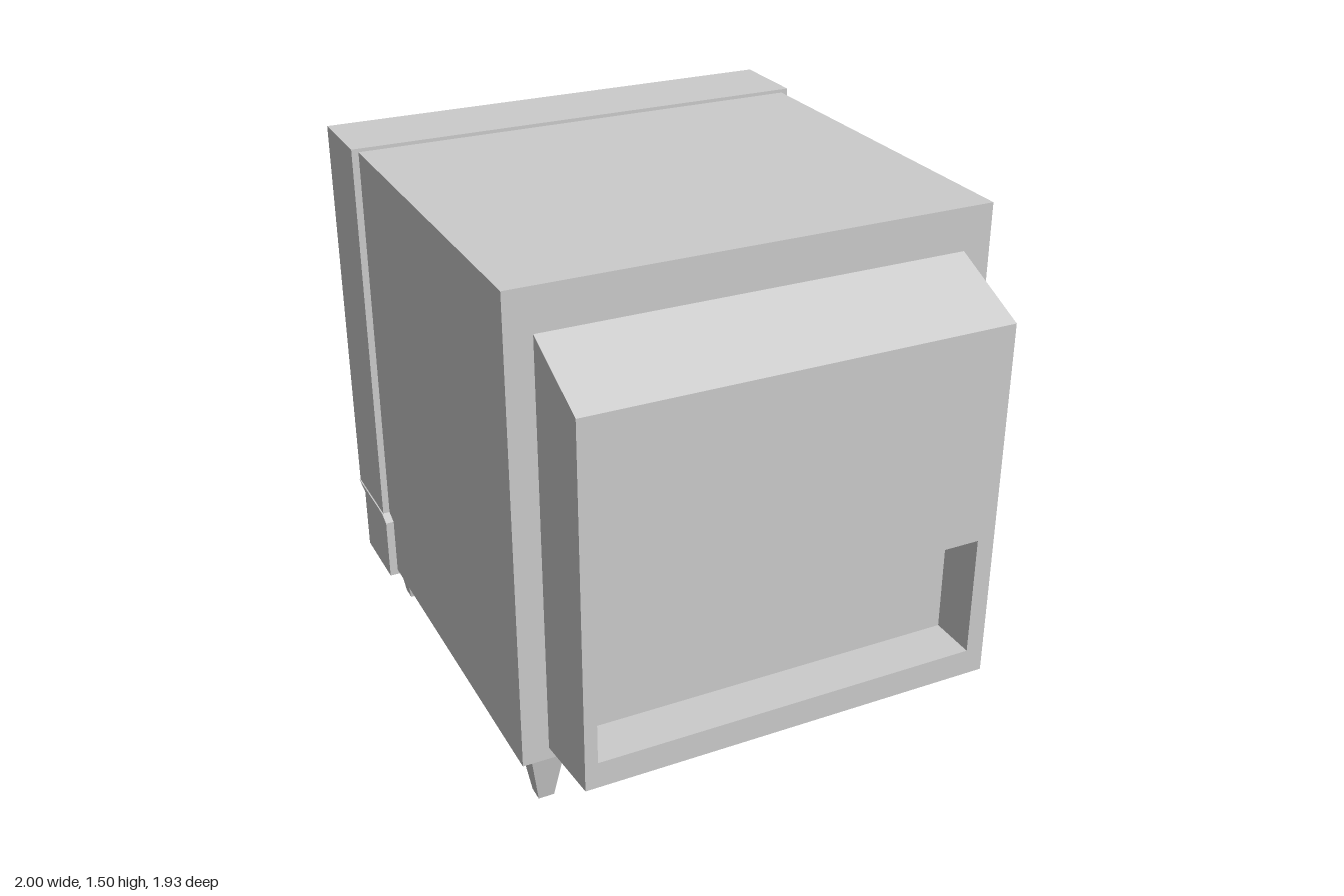
import * as THREE from 'three';

const CX = 0.012; // middle of the cabinet across its width

export function createModel() {
  const model = new THREE.Group();
  model.name = 'television';
  const material = new THREE.MeshStandardMaterial({ color: 0xcccccc });

  const add = (name, geometry, x = 0, y = 0, z = 0) => {
    const mesh = new THREE.Mesh(geometry, material);
    mesh.name = name;
    mesh.position.set(x, y, z);
    model.add(mesh);
    return mesh;
  };
  const polygon = (points) => new THREE.Shape(points.map(([x, y]) => new THREE.Vector2(x, y)));
  const rect = (x0, x1, y0, y1) => [[x0, y0], [x1, y0], [x1, y1], [x0, y1]];
  // plate with a rectangular opening, extruded along z
  const frame = (outer, hole, depth) => {
    const shape = polygon(rect(...outer));
    shape.holes.push(polygon(rect(...hole)));
    return new THREE.ExtrudeGeometry(shape, { depth, bevelEnabled: false });
  };

  // Cabinet
  add('cabinet', new THREE.BoxGeometry(1.321, 1.32, 1.083), CX, 0.825, -0.0415);

  // Screen surround
  add('screenSurround',
    frame([-0.68, 0.68, 0.35, 1.495], [-0.57, 0.57, 0.42, 1.37], 0.237), CX, 0, 0.497);

  // Control panel: a (z, y) profile extruded across the width
  const profile = polygon([[0.734, 0.35], [0.497, 0.35], [0.46, 0.335],
    [0.46, 0.15], [0.675, 0.15], [0.675, 0.335]]);
  const panel = new THREE.ExtrudeGeometry(profile, { depth: 1.368, bevelEnabled: false });
  panel.rotateY(-Math.PI / 2);
  add('controlPanel', panel, CX + 0.684);

  // Bulging screen
  const screen = new THREE.PlaneGeometry(1.14, 0.95, 28, 24);
  const sp = screen.attributes.position;
  for (let i = 0; i < sp.count; i++) {
    const a = Math.cos((sp.getX(i) / 1.14) * Math.PI);
    const b = Math.cos((sp.getY(i) / 0.95) * Math.PI);
    sp.setZ(i, 0.605 + 0.025 * (a + b) + 0.15 * a * b);
  }
  screen.computeVertexNormals();
  add('screen', screen, CX, 0.895, 0);

  // Rear housing: its top and bottom flare out towards the cabinet
  const housing = frame([-0.571, 0.599, 0.235, 1.262], [-0.52, 0.564, 0.31, 0.655], 0.237);
  const hp = housing.attributes.position;
  for (let i = 0; i < hp.count; i++) {
    if (hp.getZ(i) < 0.1) continue;
    if (hp.getY(i) > 1.2) hp.setY(i, 1.367);
    else if (hp.getY(i) < 0.25) hp.setY(i, 0.2);
  }
  housing.computeVertexNormals();
  add('rearHousing', housing, 0, 0, -0.82);
  add('rearRecessPanel', new THREE.BoxGeometry(1.084, 0.345, 0.08), 0.022, 0.4825, -0.645);

  // Row of knobs
  const knob = new THREE.LatheGeometry(
    [[0.024, 0], [0.024, 0.012], [0.033, 0.014], [0.033, 0.036], [0.026, 0.045], [0, 0.047]]
      .map(([r, y]) => new THREE.Vector2(r, y)), 20).toNonIndexed();
  knob.computeVertexNormals();
  knob.rotateX(Math.PI / 2);
  for (let i = 0; i < 6; i++) add('knob', knob, 0.024 + i * 0.097, 0.237, 0.674);

  // Upright handles at both ends of the panel
  const handleCurve = new THREE.CatmullRomCurve3([
    [0.052, -0.01], [0.052, 0.025], [0.036, 0.044], [0, 0.05],
    [-0.036, 0.044], [-0.052, 0.025], [-0.052, -0.01],
  ].map(([y, z]) => new THREE.Vector3(0, y, z)));
  const handle = new THREE.TubeGeometry(handleCurve, 24, 0.014, 10);
  for (const s of [-1, 1]) add('handle', handle, CX + s * 0.645, 0.24, 0.675);

  // Tapered square feet
  const foot = new THREE.CylinderGeometry(0.069, 0.031, 0.165, 4, 1).toNonIndexed();
  foot.rotateY(Math.PI / 4);
  foot.computeVertexNormals();
  for (const sx of [-1, 1]) {
    for (const sz of [-1, 1]) add('foot', foot, 0.018 + sx * 0.574, 0.0825, 0.027 + sz * 0.537);
  }

  // The set stands turned, its screen towards the back right
  model.rotation.y = Math.atan2(-0.82, -0.571);
  const root = new THREE.Group();
  root.name = 'turnedTelevision';
  root.add(model);
  return root;
}
